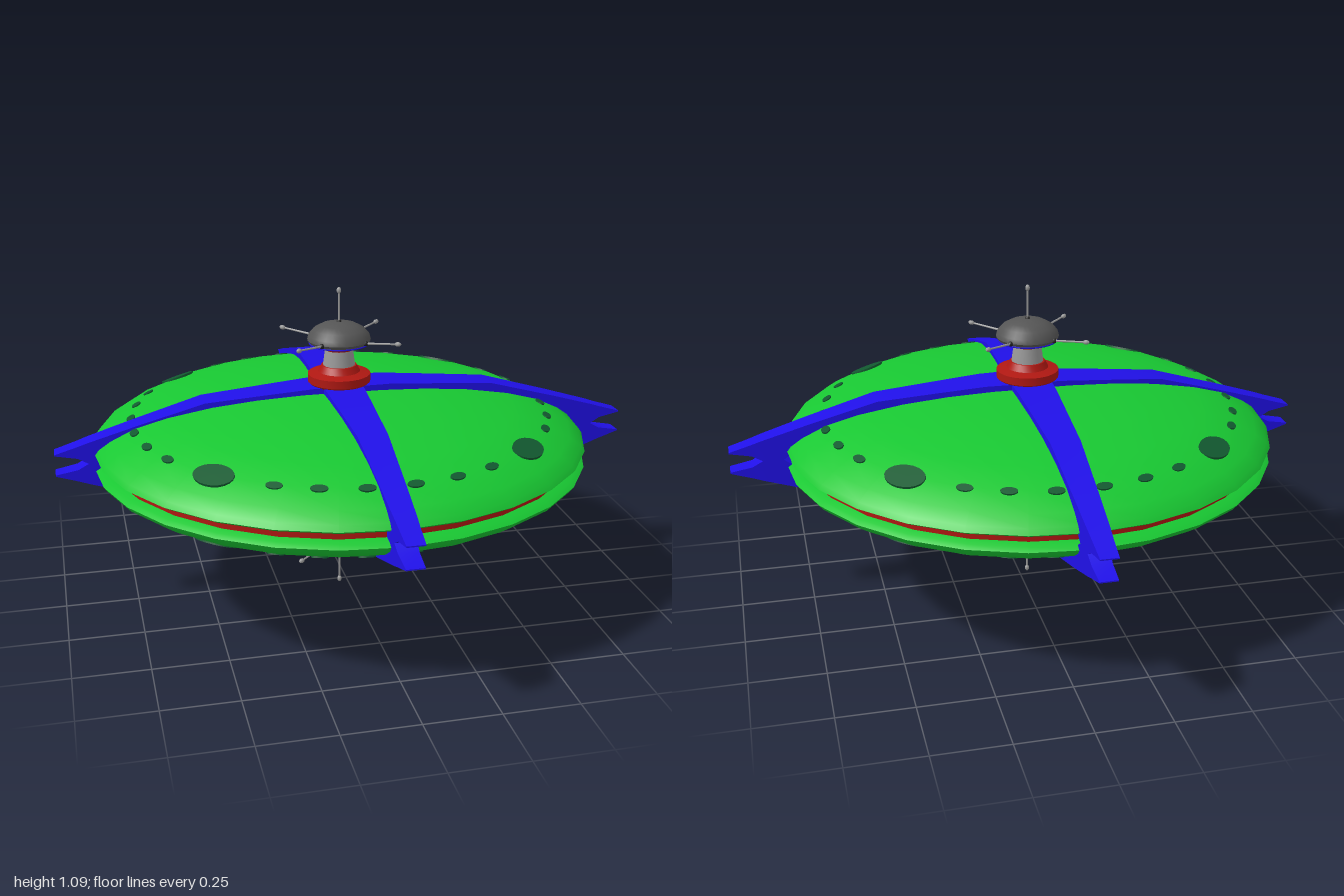
import * as THREE from 'three';
import { toCreasedNormals } from 'three/addons/utils/BufferGeometryUtils.js';

const mat = (color) => new THREE.MeshStandardMaterial({ color, side: THREE.DoubleSide });
const GREEN = mat(0x18c832), DARK_GREEN = mat(0x125a30), BLUE = mat(0x2010e8), RED = mat(0xb01812);
const GREY = mat(0x999999), DARK_GREY = mat(0x555555), BLACK = mat(0x222222);

function add(parent, name, geometry, material) {
  const mesh = new THREE.Mesh(geometry, material);
  mesh.name = name;
  parent.add(mesh);
  return mesh;
}

// Turned part from a profile of [radius, height], listed from the bottom up
function turned(profile, sides) {
  const points = profile.map(([r, y]) => new THREE.Vector2(r, y));
  return toCreasedNormals(new THREE.LatheGeometry(points, sides), 0.6);
}

const HULL = [[0.79, 0.01], [0.825, 0.017], [0.842, 0.028], [0.83, 0.045], [0.79, 0.073], [0.71, 0.112],
  [0.6, 0.143], [0.45, 0.17], [0.3, 0.186], [0.15, 0.195], [0, 0.198]];

// Flattened oval lying on the hull at the given angle
function porthole(parent, angle, across, along) {
  const pivot = new THREE.Group();
  pivot.name = 'portholeMount';
  pivot.rotation.y = angle;
  const hole = add(pivot, 'porthole', new THREE.CylinderGeometry(1, 1, 0.012, 20), DARK_GREEN);
  hole.position.set(0.71, 0.108, 0);
  hole.rotation.z = -0.37;
  hole.scale.set(across, 1, along);
  parent.add(pivot);
}

// Thin rod with a bulb at its far end
function antenna(parent, from, to) {
  const dir = to.clone().sub(from);
  const group = new THREE.Group();
  group.name = 'antenna';
  group.position.copy(from);
  group.quaternion.setFromUnitVectors(new THREE.Vector3(0, 1, 0), dir.clone().normalize());
  const length = dir.length();
  add(group, 'rod', new THREE.CylinderGeometry(0.003, 0.004, length, 8), GREY).position.y = length / 2;
  const bulb = add(group, 'bulb', new THREE.SphereGeometry(0.008, 10, 8), GREY);
  bulb.position.y = length - 0.011;
  bulb.scale.y = 1.4;
  add(group, 'socket', new THREE.SphereGeometry(0.009, 10, 8), BLACK);
  parent.add(group);
}

// Upper half of the craft, measured from its middle plane
function half() {
  const g = new THREE.Group();
  add(g, 'hull', turned(HULL, 28), GREEN);
  for (let q = 0; q < 4; q++) {
    const quarter = q * Math.PI / 2;
    porthole(g, quarter + Math.PI / 4, 0.047, 0.073);
    for (const deg of [6, 17.5, 28.5])
      for (const s of [-1, 1]) porthole(g, quarter + s * THREE.MathUtils.degToRad(deg), 0.015, 0.027);
  }
  add(g, 'collar', turned([[0.085, 0.18], [0.09, 0.205], [0.107, 0.22], [0.107, 0.247], [0.072, 0.255],
    [0.06, 0.277], [0, 0.277]], 28), RED);
  add(g, 'neck', new THREE.CylinderGeometry(0.045, 0.056, 0.085, 24), GREY).position.y = 0.31;
  const ring = add(g, 'neckRing', new THREE.TorusGeometry(0.046, 0.006, 8, 28), RED);
  ring.rotation.x = Math.PI / 2;
  ring.position.y = 0.336;
  add(g, 'head', turned([[0, 0.342], [0.07, 0.342], [0.1, 0.352], [0.108, 0.366], [0.104, 0.382],
    [0.087, 0.402], [0.06, 0.417], [0.03, 0.425], [0, 0.427]], 28), DARK_GREY);
  const band = add(g, 'headBand', new THREE.TorusGeometry(0.101, 0.003, 6, 32), BLUE);
  band.rotation.x = Math.PI / 2;
  band.position.y = 0.354;
  antenna(g, new THREE.Vector3(0, 0.425, 0), new THREE.Vector3(0, 0.545, 0));
  for (const x of [-1, 1]) for (const z of [-1, 1])
    antenna(g, new THREE.Vector3(x * 0.075, 0.365, z * 0.075), new THREE.Vector3(x * 0.175, 0.378, z * 0.155));
  return g;
}

// Half of a beam: sections of [distance, outer height, inner height, half width]
const ARM = [[0, 0.216, 0.185, 0.072], [0.13, 0.215, 0.18, 0.066], [0.3, 0.202, 0.16, 0.058],
  [0.5, 0.186, 0.135, 0.049], [0.74, 0.118, 0.06, 0.04], [0.82, 0.094, 0, 0.037],
  [0.89, 0.073, 0, 0.034], [0.925, 0.061, 0.02, 0.032], [1, 0.038, 0.034, 0.029]];

function beamGeometry() {
  const sections = [...ARM.slice(1).reverse().map(([x, ...rest]) => [-x, ...rest]), ...ARM];
  const pos = [], idx = [];
  for (const [x, top, low, w] of sections) pos.push(x, top, w, x, top, -w, x, low, -w, x, low, w);
  for (let i = 0; i < sections.length - 1; i++)
    for (let k = 0; k < 4; k++) {
      const a = i * 4 + k, b = i * 4 + (k + 1) % 4;
      idx.push(a, a + 4, b, b, a + 4, b + 4);
    }
  const e = (sections.length - 1) * 4;
  idx.push(0, 1, 2, 0, 2, 3, e, e + 2, e + 1, e, e + 3, e + 2);
  const geo = new THREE.BufferGeometry();
  geo.setAttribute('position', new THREE.Float32BufferAttribute(pos, 3));
  geo.setIndex(idx);
  return toCreasedNormals(geo, 0.45);
}

export function createModel() {
  const model = new THREE.Group();
  const MID = 0.546, CX = -0.03, CZ = 0.025;

  // Two mirrored halves around a red seam
  const body = new THREE.Group();
  body.name = 'saucer';
  body.position.set(CX, MID, CZ);
  const upper = half(), lower = half();
  upper.name = 'upperHalf';
  lower.name = 'lowerHalf';
  lower.rotation.x = Math.PI;
  body.add(upper, lower);
  add(body, 'seam', new THREE.CylinderGeometry(0.8, 0.8, 0.024, 28), RED);
  model.add(body);

  // Crossed beams that grip the rim with forked tips
  const geo = beamGeometry();
  for (const across of [false, true]) {
    const beam = new THREE.Group();
    beam.name = across ? 'frontToBackBeam' : 'sideToSideBeam';
    beam.position.set(across ? CX : 0, MID, across ? 0 : CZ);
    if (across) beam.rotation.y = Math.PI / 2;
    add(beam, 'upperBeam', geo, BLUE);
    add(beam, 'lowerBeam', geo, BLUE).rotation.x = Math.PI;
    model.add(beam);
  }
  return model;
}
